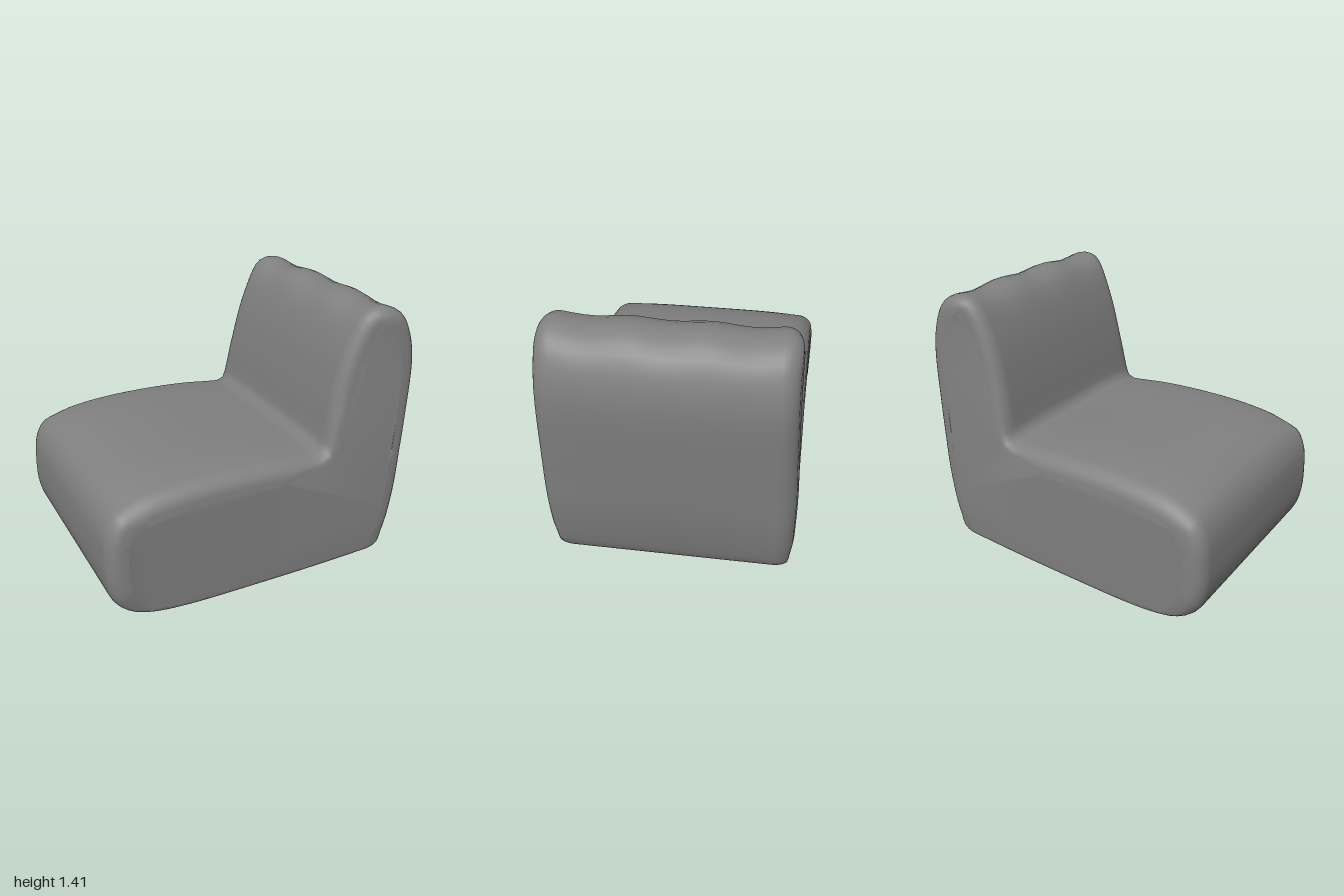
import * as THREE from 'three';

// Side profile as (depth, height): underside, front, seat, soft crease, backrest, back
const sideLine = [[-0.66, 0.008], [-0.3, 0], [0.1, 0], [0.4, 0.005], [0.6, 0.025], [0.73, 0.065], [0.805, 0.14],
  [0.838, 0.26], [0.84, 0.4], [0.825, 0.53], [0.77, 0.63], [0.67, 0.69], [0.53, 0.72], [0.3, 0.735], [0, 0.73],
  [-0.3, 0.705], [-0.35, 0.71], [-0.368, 0.755], [-0.405, 0.95], [-0.45, 1.14], [-0.51, 1.3], [-0.57, 1.385],
  [-0.65, 1.415], [-0.74, 1.4], [-0.82, 1.34], [-0.873, 1.22], [-0.89, 1.05], [-0.867, 0.75], [-0.83, 0.4],
  [-0.77, 0.12], [-0.73, 0.035], [-0.66, 0.008]];

// Stations across the width: position (-1..1) and amount of edge rounding
function widthStations() {
  const corner = 0.14;
  const side = [];
  for (let i = 0; i <= 7; i++) {
    const a = (i / 7) * Math.PI / 2;
    side.push([1 - corner + corner * Math.sin(a), 1 - Math.cos(a)]);
  }
  side.push([1.006, 1.4]);
  const middle = [];
  for (let i = 1; i < 20; i++) middle.push([(1 - corner) * (i / 10 - 1), 0]);
  return [...side.map(([s, r]) => [-s, r]).reverse(), ...middle, ...side];
}

// Sweeps the profile across the width, drawing it in towards both rounded sides
function cushionBody() {
  const { smoothstep } = THREE.MathUtils;
  const curve = new THREE.SplineCurve(sideLine.map(([z, y]) => new THREE.Vector2(z, y)));
  const profile = curve.getSpacedPoints(130).slice(0, -1);
  const n = profile.length;
  const normals = profile.map((p, j) => {
    const t = profile[(j + 1) % n].clone().sub(profile[(j + n - 1) % n]).normalize();
    return new THREE.Vector2(t.y, -t.x);
  });

  const stations = widthStations();
  const positions = [];
  for (const [s, round] of stations) {
    profile.forEach((p, j) => {
      const low = smoothstep(p.y, 0.01, 0.15);
      // The back bulges softly in the middle; the crease is rounded less
      const bulge = 0.025 * s * s * smoothstep(p.y, 0.05, 0.7) * smoothstep(-p.x, 0.4, 0.8);
      const nearCrease = 1 - smoothstep(Math.hypot(p.x + 0.35, p.y - 0.71), 0.02, 0.25);
      const inset = (0.025 + 0.045 * low) * (1 - 0.5 * nearCrease) * round + bulge;
      // Narrower towards the floor, the top and the front of the backrest
      const shoulder = smoothstep(p.y, 0.55, 0.75) * smoothstep(-p.x, 0.1, 0.35) * (1 - smoothstep(-p.x, 0.4, 0.7));
      const halfWidth = 0.618 - 0.033 * smoothstep(p.y, 0.4, 1.35) - 0.03 * shoulder - 0.02 * (1 - smoothstep(p.y, 0, 0.2));
      // Soft ripple along the top of the backrest, rising to its corners
      const ripple = (0.018 * s ** 4 - 0.007 * (Math.cos(s * 10) + 1)) * smoothstep(p.y, 1.25, 1.41);
      // The seat is crowned across its width and hollow before the backrest
      const seatTop = smoothstep(p.y, 0.6, 0.7) * (1 - smoothstep(p.y, 0.74, 0.9));
      const sag = seatTop * (0.04 * s ** 4 + 0.012 * (1 - s * s) * (1 - smoothstep(p.x, -0.1, 0.5)));
      positions.push(
        s * halfWidth,
        Math.max(0, p.y - normals[j].y * inset + ripple - sag),
        p.x - normals[j].x * inset - 0.015 * s, // slightly skewed plan
      );
    });
  }

  const index = [];
  const last = (stations.length - 1) * n;
  for (let i = 0; i < stations.length - 1; i++) {
    for (let j = 0; j < n; j++) {
      const k = (j + 1) % n;
      const a = i * n + j, b = i * n + k, c = a + n, d = b + n;
      index.push(a, c, b, b, c, d);
    }
  }
  // Side panels
  const outline = profile.map((p, j) => new THREE.Vector2(positions[j * 3 + 2], positions[j * 3 + 1]));
  for (const [a, b, c] of THREE.ShapeUtils.triangulateShape(outline, [])) {
    index.push(a, b, c, last + c, last + b, last + a);
  }

  const geometry = new THREE.BufferGeometry();
  geometry.setAttribute('position', new THREE.Float32BufferAttribute(positions, 3));
  geometry.setIndex(index);
  geometry.computeVertexNormals();
  return geometry;
}

export function createModel() {
  const group = new THREE.Group();
  group.name = 'armlessChair';
  const body = new THREE.Mesh(cushionBody(), new THREE.MeshStandardMaterial({ color: 0x808080 }));
  body.name = 'seatAndBackrest';
  body.rotation.y = -0.67; // chair stands turned to one side
  group.add(body);
  return group;
}
